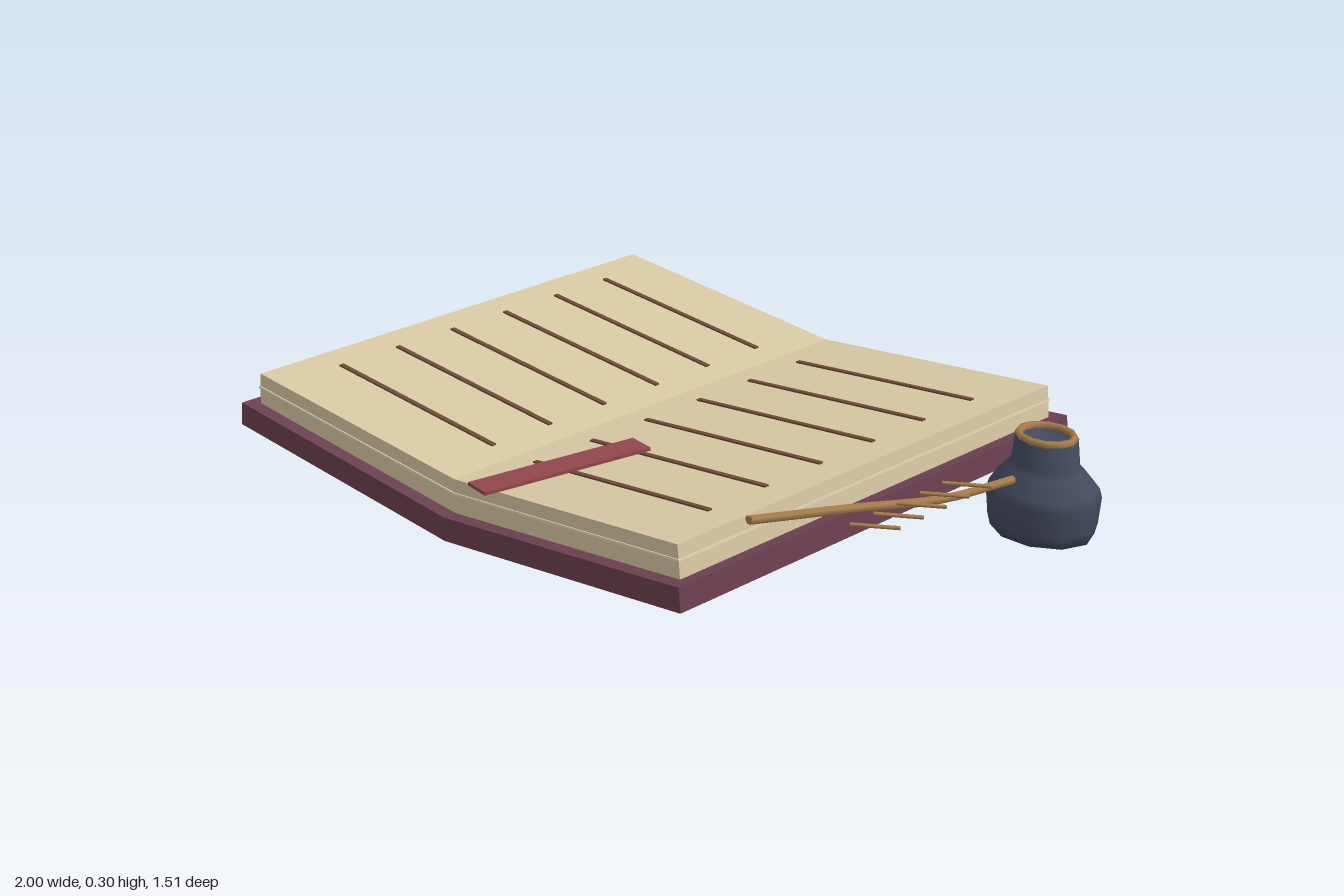
import * as THREE from 'three';

const mat = (name, color, side = THREE.FrontSide) => {
  const m = new THREE.MeshStandardMaterial({ color, side });
  m.name = name;
  return m;
};

export function createModel() {
  const group = new THREE.Group();
  const cover = mat('plum cover', 0x6b4050);
  const paper = mat('parchment', 0xd8c8a4);
  const edge = mat('pale page edge', 0xe2d6b6);
  const writing = mat('brown ink', 0x6e4a38);
  const ribbon = mat('red ribbon', 0x8f474b);
  const glass = mat('blue grey pot', 0x434a5c, THREE.DoubleSide);
  const brass = mat('brass brown', 0xa67c4e);

  const add = (name, geometry, material, x = 0, y = 0, z = 0) => {
    const mesh = new THREE.Mesh(geometry, material);
    mesh.name = name;
    mesh.position.set(x, y, z);
    group.add(mesh);
    return mesh;
  };

  // Open-book slab: a V profile run along z, half width w, tilted up on both sides
  const spineX = -0.175;
  const slab = (w, y0, t, tilt, z0, z1) => {
    const s = Math.sin(tilt), c = Math.cos(tilt), end = y0 + w * Math.tan(tilt);
    const shape = new THREE.Shape([
      [0, y0], [w, end], [w - t * s, end + t * c], [0, y0 + t / c],
      [-w + t * s, end + t * c], [-w, end],
    ].map(([x, y]) => new THREE.Vector2(x, y)));
    return new THREE.ExtrudeGeometry(shape, { depth: z1 - z0, bevelEnabled: false })
      .translate(spineX, 0, z0);
  };
  add('cover', slab(0.825, 0.003, 0.064, 0.098, -0.757, 0.71), cover);
  const tilt = 0.092;
  add('pages', slab(0.787, 0.067, 0.092, tilt, -0.72, 0.672), paper);
  add('pageEdge', slab(0.785, 0.117, 0.006, tilt, -0.723, 0.675), edge);

  // Six written lines on each page
  for (const side of [-1, 1]) {
    for (let i = 0; i < 6; i++) {
      const d = 0.383;
      const line = add('writtenLine', new THREE.BoxGeometry(0.613, 0.006, 0.014), writing,
        spineX + side * d, 0.161 + d * Math.tan(tilt), -0.515 + i * 0.197);
      line.rotation.z = side * tilt;
    }
  }

  // Ribbon bookmark
  add('bookmark', new THREE.BoxGeometry(0.078, 0.009, 0.485), ribbon, 0.038, 0.208, 0.508)
    .rotation.y = -0.18;

  // Oval ink pot with ten sides
  const pot = new THREE.Group();
  pot.name = 'inkPot';
  pot.position.set(0.845, 0, -0.395);
  pot.scale.z = 0.82;
  const profile = [[0, 0], [0.14, 0], [0.148, 0.03], [0.155, 0.1], [0.148, 0.125],
    [0.106, 0.172], [0.092, 0.185], [0.085, 0.25], [0.068, 0.25], [0.064, 0.235], [0, 0.235]];
  const body = new THREE.Mesh(
    new THREE.LatheGeometry(profile.map(([x, y]) => new THREE.Vector2(x, y)), 10), glass);
  body.name = 'potBody';
  body.rotation.y = Math.PI / 2;
  const rim = new THREE.Mesh(new THREE.TorusGeometry(0.075, 0.011, 6, 12), brass);
  rim.name = 'potRim';
  rim.rotation.x = Math.PI / 2;
  rim.position.y = 0.255;
  pot.add(body, rim);
  group.add(pot);

  // Straight rod between two points
  const rod = (name, a, b, r, material) => {
    const p = new THREE.Vector3(...a), q = new THREE.Vector3(...b);
    const dir = q.clone().sub(p);
    const mesh = add(name, new THREE.CylinderGeometry(r, r, dir.length(), 6), material);
    mesh.position.copy(p).add(q).multiplyScalar(0.5);
    mesh.quaternion.setFromUnitVectors(new THREE.Vector3(0, 1, 0), dir.normalize());
  };

  // Bent quill shaft resting against the pot
  const path = new THREE.CatmullRomCurve3([
    [0.72, 0.292, 0.558], [0.775, 0.246, 0.27], [0.828, 0.2, 0], [0.827, 0.163, -0.285],
  ].map(p => new THREE.Vector3(...p)));
  add('quillShaft', new THREE.TubeGeometry(path, 12, 0.012, 6), brass);
  for (const [t, a] of [[0, Math.PI], [1, 0]]) {
    const cap = add('quillEnd', new THREE.CircleGeometry(0.012, 6), brass);
    cap.position.copy(path.getPoint(t));
    cap.rotation.y = t ? Math.PI - a : 0;
  }

  // Feather barbs
  for (let i = 0; i < 5; i++) {
    const z = 0.015 + i * 0.084;
    rod('barb', [0.845, 0.254, z], [0.935, 0.248, z - 0.075], 0.005, brass);
  }
  return group;
}
